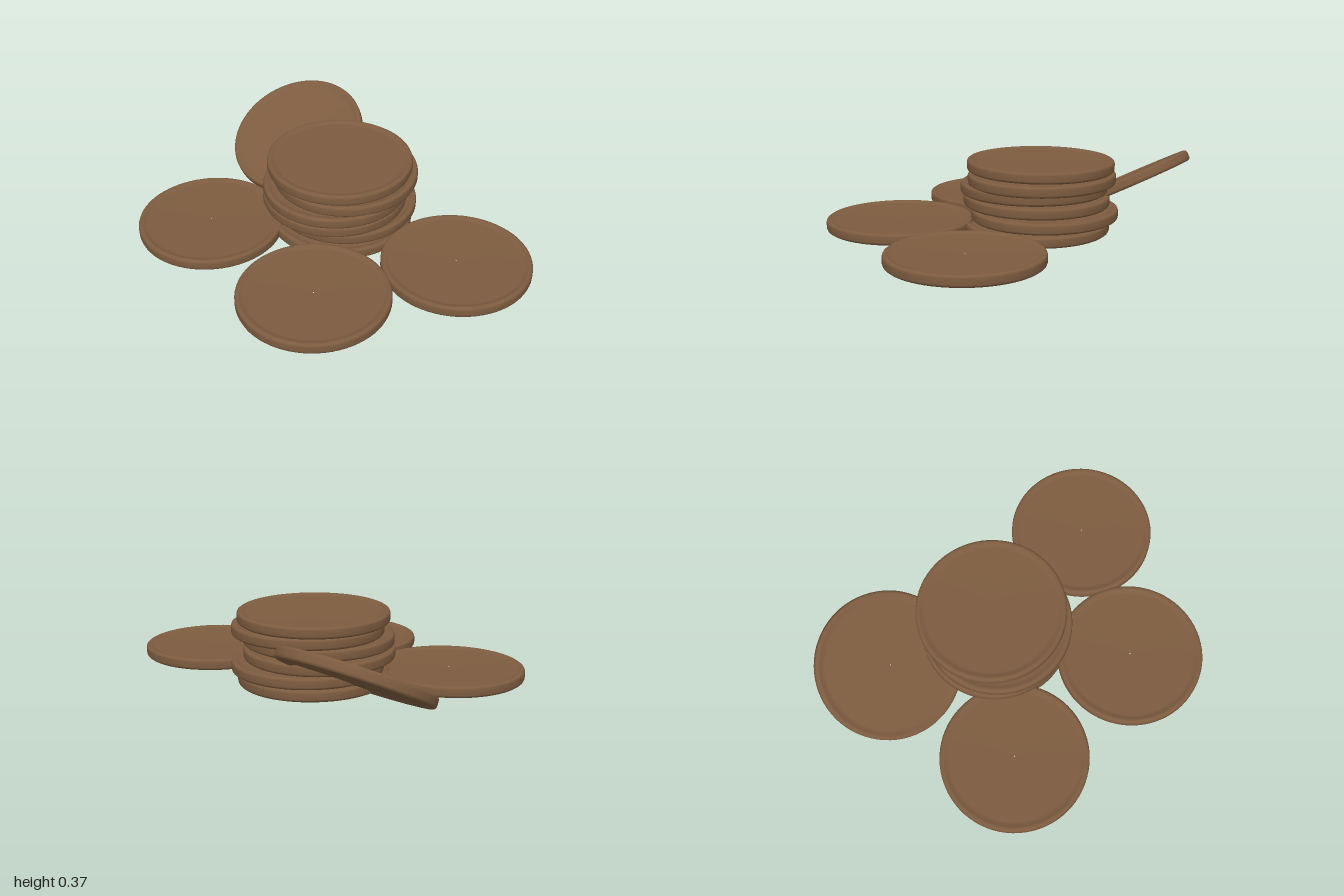
import * as THREE from 'three';

const RADIUS = 0.367;

// Half profile from the rim's mid-height to the tiny centre hole: [radius, height]
const HALF = [
  [RADIUS, 0.014], [0.364, 0.022], [0.357, 0.027], [0.349, 0.0275],
  [0.341, 0.025], [0.331, 0.0195], [0.318, 0.0175], [0.003, 0.0165],
];

// Round disc with a raised, rounded rim on both faces
function discGeometry() {
  const top = HALF.map(([r, y]) => new THREE.Vector2(r, y));
  const bottom = HALF.map(([r, y]) => new THREE.Vector2(r, -y)).reverse();
  return new THREE.LatheGeometry([...bottom, ...top], 72);
}

export function createModel() {
  const group = new THREE.Group();
  const bronze = new THREE.MeshStandardMaterial({ color: 0x7d5c40 });
  const geometry = discGeometry();
  const up = new THREE.Vector3(0, 1, 0);

  // Places a coin at a centre, with its face turned along a normal
  function addCoin(name, [x, y, z], normal = [0, 1, 0]) {
    const coin = new THREE.Mesh(geometry, bronze);
    coin.name = name;
    coin.position.set(x, y, z);
    coin.quaternion.setFromUnitVectors(up, new THREE.Vector3(...normal).normalize());
    group.add(coin);
  }

  // Untidy stack, bottom to top
  const stack = [
    [[-0.05, 0.045, -0.15], [0.012, 1, -0.008]],
    [[-0.04, 0.111, -0.193], [0.005, 1, 0.005]],
    [[-0.08, 0.17, -0.147], [0, 1, -0.01]],
    [[-0.07, 0.235, -0.135], [-0.008, 1, 0]],
    [[-0.034, 0.288, -0.18], [0.005, 1, 0.008]],
    [[-0.06, 0.348, -0.17], [0, 1, -0.008]],
  ];
  stack.forEach(([position, normal], i) => addCoin(`stackCoin${i + 1}`, position, normal));

  // Coins lying flat around the stack
  addCoin('rightLooseCoin', [-0.632, 0.053, 0.17]);
  addCoin('frontLooseCoin', [0.07, 0.053, 0.522]);
  addCoin('leftLooseCoin', [0.627, 0.053, 0.058]);

  // Coin leaning behind the stack
  addCoin('leaningCoin', [-0.453, 0.19, -0.557], [-0.135, 0.893, 0.43]);

  return group;
}
